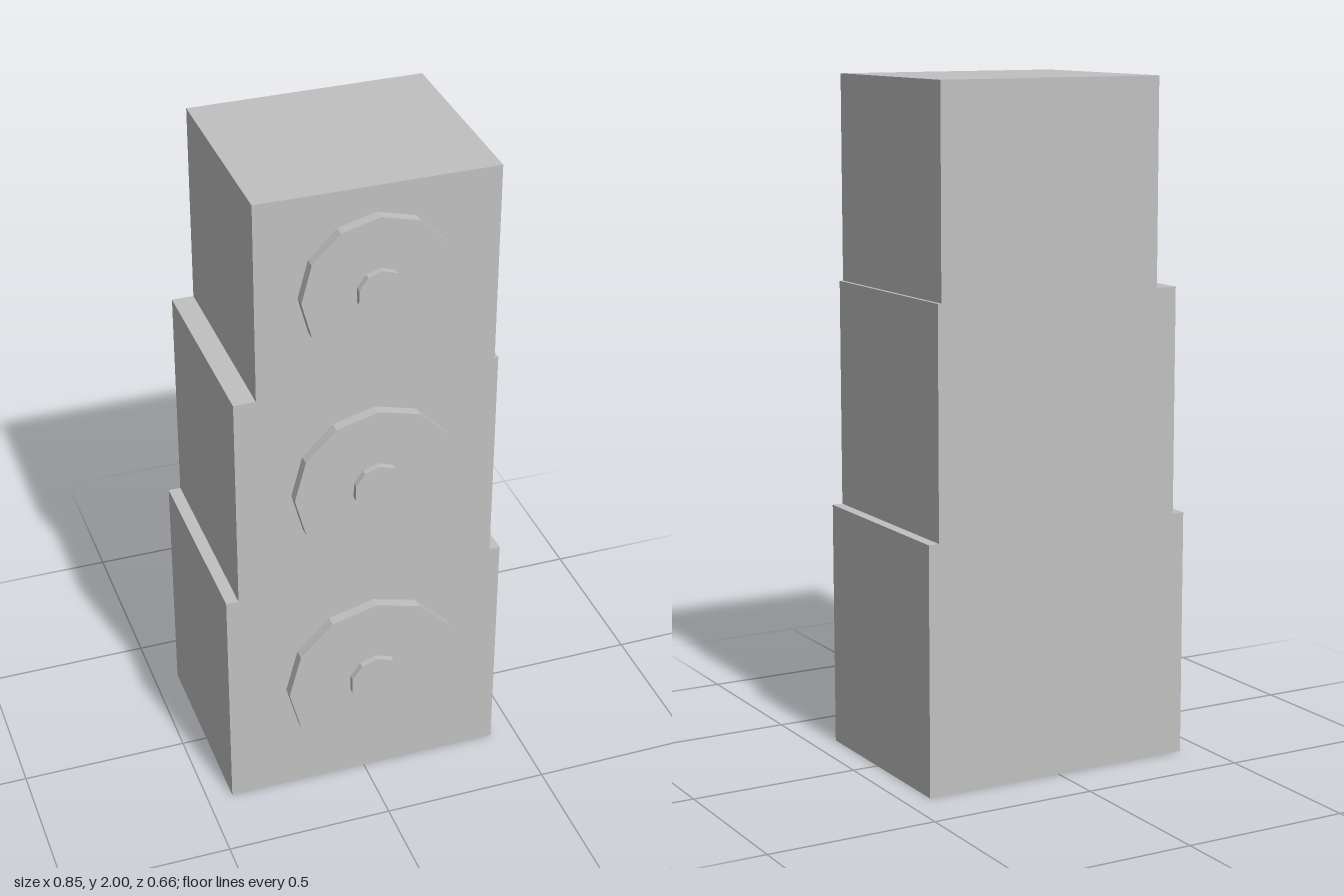
import * as THREE from 'three';

const BACK = -0.328, FRONT = 0.277; // cabinet depth
const DISC_FRONT = 0.309, CAP_FRONT = 0.328;
const CENTRE_X = 0.023; // all drivers share one axis, slightly off centre

// One entry per stacked cabinet, from the bottom up
const TIERS = [
  { name: 'lower', x0: -0.424, x1: 0.422, y0: 0, y1: 0.73, cy: 0.366, disc: 0.27, cap: 0.083 },
  { name: 'middle', x0: -0.387, x1: 0.39, y0: 0.73, y1: 1.398, cy: 1.064, disc: 0.247, cap: 0.076 },
  { name: 'upper', x0: -0.322, x1: 0.379, y0: 1.398, y1: 2, cy: 1.699, disc: 0.223, cap: 0.07 },
];

export function createModel() {
  const group = new THREE.Group();
  const grey = new THREE.MeshStandardMaterial({ color: 0xc0c0c0, flatShading: true });
  grey.name = 'plain grey';

  const add = (name, geometry, x, y, z) => {
    const mesh = new THREE.Mesh(geometry, grey);
    mesh.name = name;
    mesh.position.set(x, y, z);
    group.add(mesh);
  };

  // Faceted disc facing +z between two depths
  const addDisc = (name, radius, sides, y, z0, z1) => {
    const geometry = new THREE.CylinderGeometry(radius, radius, z1 - z0, sides);
    geometry.rotateX(Math.PI / 2);
    add(name, geometry, CENTRE_X, y, (z0 + z1) / 2);
  };

  for (const t of TIERS) {
    add(`${t.name}Cabinet`, new THREE.BoxGeometry(t.x1 - t.x0, t.y1 - t.y0, FRONT - BACK),
      (t.x0 + t.x1) / 2, (t.y0 + t.y1) / 2, (FRONT + BACK) / 2);
    addDisc(`${t.name}SpeakerDisc`, t.disc, 12, t.cy, FRONT, DISC_FRONT);
    addDisc(`${t.name}SpeakerCap`, t.cap, 10, t.cy, DISC_FRONT, CAP_FRONT);
  }
  return group;
}
